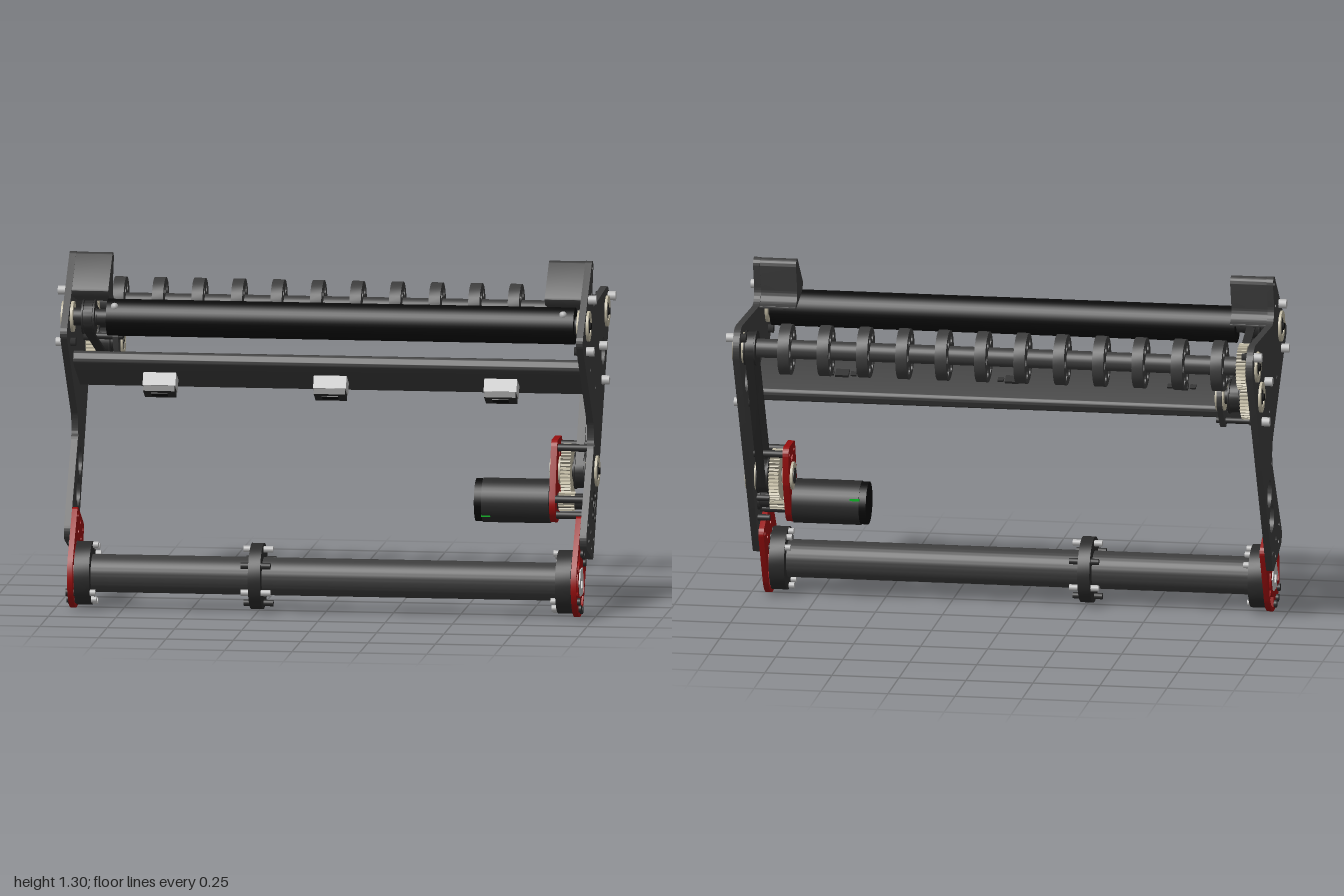
import * as THREE from 'three';
import { toCreasedNormals } from 'three/addons/utils/BufferGeometryUtils.js';

const mat = (color) => new THREE.MeshStandardMaterial({ color, side: THREE.DoubleSide });

export function createModel() {
  const root = new THREE.Group();
  const DARK = mat(0x3c3c3c), STEEL = mat(0x2a2a2a), BLACK = mat(0x0a0a0a),
    RED = mat(0x960e0e), CREAM = mat(0xbdb6a0), LIGHT = mat(0xb8b8b8), GREEN = mat(0x00b020);

  // Profiles are drawn as (z, y) and extruded along x.
  const add = (name, geo, material) => {
    const m = new THREE.Mesh(geo, material);
    m.name = name;
    root.add(m);
    return m;
  };
  const slab = (name, shape, xa, xb, material, seg = 20) => {
    const x0 = Math.min(xa, xb), x1 = Math.max(xa, xb);
    const g = new THREE.ExtrudeGeometry(shape, { depth: x1 - x0, bevelEnabled: false, curveSegments: seg });
    g.rotateY(-Math.PI / 2).translate(x1, 0, 0);
    return add(name, toCreasedNormals(g, 0.6), material);
  };
  const cyl = (name, z, y, r, xa, xb, material, seg = 28) => {
    const g = new THREE.CylinderGeometry(r, r, Math.abs(xb - xa), seg);
    g.rotateZ(Math.PI / 2).translate((xa + xb) / 2, y, z);
    return add(name, g, material);
  };
  const disc = (z, y, r) => new THREE.Shape().absarc(z, y, r, 0, Math.PI * 2, false);
  const drill = (shape, list) => {
    list.forEach(([z, y, r]) => shape.holes.push(new THREE.Path().absarc(z, y, r, 0, Math.PI * 2, true)));
    return shape;
  };
  const ring = (name, z, y, ro, ri, xa, xb, material, seg) =>
    slab(name, drill(disc(z, y, ro), [[z, y, ri]]), xa, xb, material, seg);

  // Polygon whose corners [z, y, radius] are rounded with true arcs.
  const rounded = (pts) => {
    const s = new THREE.Shape(), n = pts.length;
    pts.forEach(([px, py, r], i) => {
      const v = new THREE.Vector2(px, py);
      const a = new THREE.Vector2(...pts[(i + n - 1) % n]).sub(v).normalize();
      const b = new THREE.Vector2(...pts[(i + 1) % n]).sub(v).normalize();
      const half = Math.acos(a.dot(b)) / 2, t = r / Math.tan(half);
      const c = a.clone().add(b).normalize().multiplyScalar(r / Math.sin(half)).add(v);
      const p = a.clone().multiplyScalar(t).add(v), q = b.clone().multiplyScalar(t).add(v);
      if (i === 0) s.moveTo(p.x, p.y); else s.lineTo(p.x, p.y);
      s.absarc(c.x, c.y, r, Math.atan2(p.y - c.y, p.x - c.x), Math.atan2(q.y - c.y, q.x - c.x), a.cross(b) > 0);
    });
    return s;
  };
  // Convex outline wrapped around circles [z, y, r].
  const wrap = (circles) => {
    const pts = [];
    circles.forEach(([z, y, r]) => {
      for (let i = 0; i < 48; i++) {
        const t = i * Math.PI / 24;
        pts.push(new THREE.Vector2(z + r * Math.cos(t), y + r * Math.sin(t)));
      }
    });
    pts.sort((a, b) => a.x - b.x || a.y - b.y);
    const chain = (list) => {
      const h = [];
      for (const p of list) {
        while (h.length > 1 && h.at(-1).clone().sub(h.at(-2)).cross(p.clone().sub(h.at(-2))) <= 1e-9) h.pop();
        h.push(p);
      }
      return h.slice(0, -1);
    };
    return [...chain(pts), ...chain([...pts].reverse())];
  };
  const hull = (circles) => new THREE.Shape(wrap(circles));
  const belt = (name, c1, c2, xa, xb) => {
    const s = hull([c1, c2].map(([z, y, r]) => [z, y, r + 0.01]));
    s.holes.push(new THREE.Path(wrap([c1, c2]).reverse()));
    slab(name, s, xa, xb, STEEL);
  };
  const gear = (name, z, y, r, teeth, xa, xb) => {
    const pts = [];
    for (let i = 0; i < teeth * 4; i++) {
      const t = (i + 0.5) * Math.PI / (teeth * 2), k = i % 4 < 2 ? r : r - 0.012;
      pts.push(new THREE.Vector2(z + k * Math.cos(t), y + k * Math.sin(t)));
    }
    slab(name, drill(new THREE.Shape(pts), [[z, y, 0.03]]), xa, xb, CREAM);
  };

  // Main axes as [z, y]
  const ROLLER = [0.252, 1.085], WHEELS = [-0.293, 1.06], IDLER = [-0.205, 0.925],
    DRIVE = [0.003, 0.509], MOTOR = [0.059, 0.402], TUBE = [0.262, 0.133];
  const bracketHoles = [[0.224, 0.343], [0.152, 0.305], [0.079, 0.267], [0.21, 0.281], [0.138, 0.243]]
    .map(([z, y]) => [z, y, 0.01]);
  const bolts = [[0.22, 1.178], [0.283, 0.995], [-0.103, 0.96], [-0.166, 0.823], [-0.348, 1.109]];

  for (const s of [1, -1]) {
    // Side plates
    const plate = rounded([[0.055, 1.364, 0.025], [0.405, 1.04, 0.03], [0.035, 0.652, 0.1], [0.31, 0.27, 0.04],
      [0.085, 0.187, 0.03], [-0.452, 1.155, 0.08], [0.13, 1.127, 0.05]]);
    drill(plate, [[0.107, 1.28, 0.009], [0.141, 1.19, 0.009], [0.172, 0.912, 0.009], [0.007, 0.822, 0.009],
      [0.055, 0.615, 0.009], ...bracketHoles, [...IDLER, 0.052], [...DRIVE, 0.052], [...MOTOR, s > 0 ? 0.04 : 0.052],
      [...ROLLER, 0.045], [...WHEELS, 0.045]]);
    slab('sidePlate', plate, s * 0.945, s * 0.97, DARK);

    // Inward corner guards following the horn of the plate
    slab('cornerGuard', rounded([[0.055, 1.364, 0.025], [0.25, 1.181, 0.008], [0.225, 1.155, 0.008],
      [0.075, 1.118, 0.004], [0.075, 1.13, 0.004], [0.13, 1.13, 0.045]]), s * 0.81, s * 0.945, DARK);

    // Flanged bearings and shaft ends
    for (const [z, y] of [ROLLER, WHEELS, s > 0 ? DRIVE : IDLER]) {
      ring('bearing', z, y, 0.057, 0.034, s * 0.935, s * 0.979, CREAM);
      cyl('shaftEnd', z, y, 0.033, s * 0.85, s * 0.976, STEEL);
      cyl('shaftScrew', z, y, 0.014, s * 0.97, s * 0.985, BLACK, 6);
    }
    for (const [z, y] of bolts) {
      cyl('bolt', z, y, 0.017, s * 0.968, s * 0.999, LIGHT, 16);
      cyl('boltNut', z, y, 0.017, s * 0.925, s * 0.945, STEEL, 6);
    }

    // Red pivot brackets with arc windows
    const bracket = drill(hull([[...TUBE, 0.129], [0.224, 0.343, 0.028], [0.079, 0.267, 0.028]]),
      [...bracketHoles, [...TUBE, 0.05]]);
    for (const [a, b] of [[-22, 30], [36, 82], [158, 210], [216, 262]]) {
      const w = new THREE.Path(), A = a * Math.PI / 180, B = b * Math.PI / 180;
      w.absarc(...TUBE, 0.113, A, B, false).absarc(...TUBE, 0.076, B, A, true);
      w.closePath();
      bracket.holes.push(w);
    }
    slab('pivotBracket', bracket, s * 0.925, s * 0.945, RED);
    ring('pivotHub', ...TUBE, 0.117, 0.045, s * 0.865, s * 0.922, STEEL);
    ring('pivotHexCollar', ...TUBE, 0.057, 0.028, s * 0.915, s * 0.95, LIGHT, 3);
    for (const deg of [94, 119, 145, -36, -62, -88]) {
      const t = deg * Math.PI / 180, z = TUBE[0] + 0.104 * Math.cos(t), y = TUBE[1] + 0.104 * Math.sin(t);
      cyl('pivotBolt', z, y, 0.014, s * 0.92, s * 0.955, STEEL, 12);
      cyl('pivotBoltEnd', z, y, 0.012, s * 0.845, s * 0.87, LIGHT, 12);
    }
  }

  // Hollow pivot tube with a bolted collar
  ring('pivotTube', ...TUBE, 0.07, 0.055, -0.9, 0.9, DARK, 32);
  ring('tubeCollar', ...TUBE, 0.122, 0.07, -0.275, -0.23, STEEL, 32);
  for (let i = 0; i < 6; i++) {
    const t = (i + 0.5) * Math.PI / 3;
    cyl('collarBolt', TUBE[0] + 0.1 * Math.cos(t), TUBE[1] + 0.1 * Math.sin(t), 0.012, -0.305, -0.195, i % 2 ? LIGHT : STEEL, 12);
  }

  // Front roller
  cyl('frontRoller', ...ROLLER, 0.068, -0.81, 0.925, BLACK, 40);
  cyl('rollerShaft', ...ROLLER, 0.03, -0.94, 0.94, STEEL);
  for (const x of [-0.78, 0.885]) add('rollerScrew', new THREE.SphereGeometry(0.014, 12, 8).translate(x, 1.132, 0.298), LIGHT);

  // Rear shaft with spoked wheels
  cyl('wheelShaft', ...WHEELS, 0.035, -0.93, 0.93, DARK);
  for (let i = 0; i < 12; i++) {
    const x = -0.832 + i * 0.1468, wheel = disc(...WHEELS, 0.094);
    drill(wheel, Array.from({ length: 6 }, (_, k) =>
      [WHEELS[0] + 0.062 * Math.cos(k * Math.PI / 3), WHEELS[1] + 0.062 * Math.sin(k * Math.PI / 3), 0.018]));
    slab('wheel', wheel, x - 0.021, x + 0.021, DARK, 16);
  }

  // Tilted hollow cross beam, with sensors under it
  const beam = new THREE.Group();
  beam.name = 'crossBeam';
  beam.position.set(0, 0.87, 0.09);
  beam.rotation.x = -0.499;
  const flat = (a, b, r) => rounded([[a, b, r], [-a, b, r], [-a, -b, r], [a, -b, r]]);
  const section = flat(0.128, 0.026, 0.02);
  section.holes.push(new THREE.Path(flat(0.119, 0.017, 0.012).getPoints(8)));
  beam.add(slab('beamTube', section, -0.945, 0.945, DARK, 8));
  const box = (name, w, h, d, x, y, z, m) => beam.add(add(name, new THREE.BoxGeometry(w, h, d).translate(x, y, z), m));
  for (const x of [-0.633, 0, 0.633]) {
    box('sensorBody', 0.122, 0.05, 0.075, x, -0.051, 0.0, LIGHT);
    box('sensorLens', 0.116, 0.022, 0.068, x, -0.087, 0.0, STEEL);
    box('sensorWindow', 0.06, 0.006, 0.03, x, -0.098, 0.0, BLACK);
    box('sensorPlug', 0.05, 0.012, 0.035, x, 0.03, -0.015, STEEL);
    for (const k of [-1, 1]) box('sensorTab', 0.022, 0.008, 0.02, x + k * 0.042, 0.029, -0.015, STEEL);
  }
  root.add(beam);

  // Gear pair, idler support and belt on the right side
  gear('wheelGear', ...WHEELS, 0.086, 36, -0.94, -0.905);
  gear('idlerGear', ...IDLER, 0.084, 36, -0.94, -0.905);
  cyl('idlerShaft', ...IDLER, 0.03, -0.97, -0.81, STEEL);
  for (const axis of [IDLER, ROLLER]) {
    cyl('beltPulley', ...axis, 0.05, -0.9, -0.86, STEEL);
    for (const x of [-0.9, -0.858]) cyl('pulleyFlange', ...axis, 0.064, x - 0.003, x + 0.003, STEEL);
  }
  belt('rollerBelt', [...IDLER, 0.05], [...ROLLER, 0.05], -0.895, -0.863);
  slab('idlerSupport', drill(hull([[-0.103, 0.96, 0.025], [-0.166, 0.823, 0.025], [...IDLER, 0.06]]),
    [[...IDLER, 0.045]]), -0.835, -0.815, DARK);
  ring('idlerBearing', ...IDLER, 0.055, 0.03, -0.84, -0.808, CREAM);
  for (const [z, y] of [bolts[2], bolts[3]]) cyl('idlerStandoff', z, y, 0.012, -0.95, -0.8, STEEL, 12);

  // Motor, red mount, reduction gear and belt on the left side
  cyl('motor', ...MOTOR, 0.082, 0.56, 0.81, STEEL, 36);
  cyl('motorCap', ...MOTOR, 0.079, 0.533, 0.56, BLACK, 36);
  add('motorMark', new THREE.BoxGeometry(0.035, 0.008, 0.006).translate(0.575, 0.352, 0.122), GREEN);
  add('motorMark', new THREE.BoxGeometry(0.035, 0.008, 0.006).translate(0.575, 0.43, -0.018), GREEN);
  const mount = drill(hull([[...MOTOR, 0.078], [...DRIVE, 0.07], [-0.045, 0.6, 0.03], [0.05, 0.6, 0.03]]),
    [[...DRIVE, 0.04], [-0.045, 0.6, 0.009], [0.05, 0.6, 0.009]]);
  mount.holes.push(new THREE.Path([[-0.025, 0.585], [0.03, 0.585], [0.003, 0.562]].map((p) => new THREE.Vector2(...p))));
  slab('motorMount', mount, 0.812, 0.835, RED);
  ring('mountBearing', ...DRIVE, 0.052, 0.03, 0.803, 0.842, CREAM);
  cyl('driveShaft', ...DRIVE, 0.03, 0.8, 0.95, STEEL);
  gear('driveGear', ...DRIVE, 0.098, 42, 0.848, 0.885);
  gear('pinion', ...MOTOR, 0.036, 12, 0.84, 0.9);
  cyl('motorShaft', ...MOTOR, 0.03, 0.8, 0.94, STEEL);
  ring('motorShaftBushing', ...MOTOR, 0.04, 0.022, 0.935, 0.968, STEEL);
  cyl('motorShaftTip', ...MOTOR, 0.012, 0.93, 0.96, LIGHT, 12);
  for (const [z, y] of [[0.128, 0.419], [0.103, 0.357], [0.045, 0.336], [0.024, 0.415]])
    cyl('motorScrew', z, y, 0.012, 0.9, 0.974, STEEL, 12);
  for (const [z, y] of [[-0.045, 0.6], [0.05, 0.6], [0.103, 0.357], [0.128, 0.419]])
    cyl('motorStandoff', z, y, 0.014, 0.835, 0.945, STEEL, 12);
  for (const [axis, r] of [[DRIVE, 0.055], [WHEELS, 0.05]]) {
    cyl('drivePulley', ...axis, r, 0.895, 0.935, STEEL);
    for (const x of [0.896, 0.934]) cyl('pulleyFlange', ...axis, r + 0.014, x - 0.003, x + 0.003, STEEL);
  }
  belt('driveBelt', [...DRIVE, 0.055], [...WHEELS, 0.05], 0.9, 0.93);
  return root;
}
